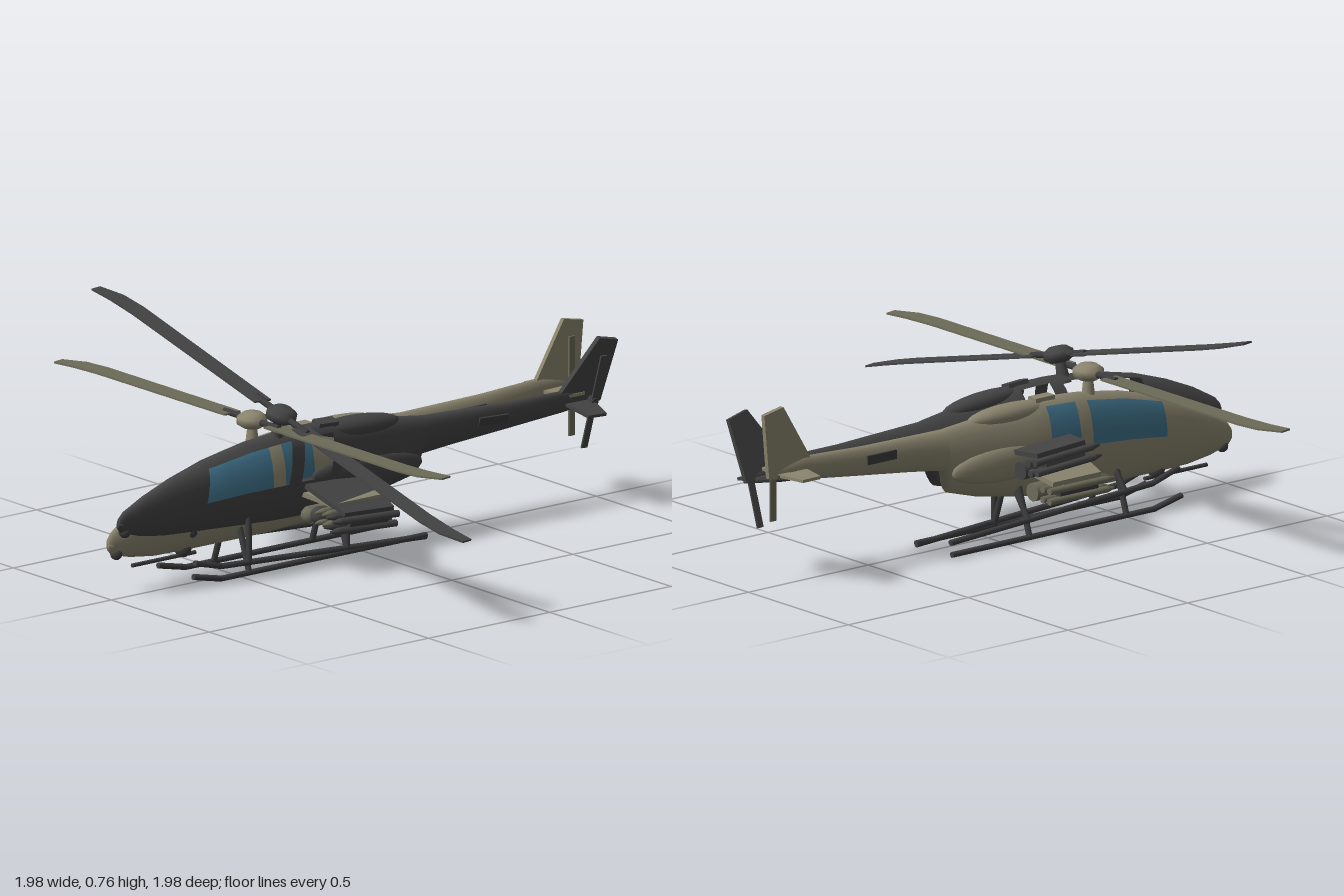
import * as THREE from 'three';

const mat = (name, color, side = THREE.FrontSide) => {
  const m = new THREE.MeshStandardMaterial({ color, side });
  m.name = name;
  return m;
};

// Flat plate from [x, z] points, centred on y = 0
const flatPlate = (pts, t) => new THREE.ExtrudeGeometry(
  new THREE.Shape(pts.map(([x, z]) => new THREE.Vector2(x, z))), { depth: t, bevelEnabled: false })
  .rotateX(Math.PI / 2).translate(0, t / 2, 0);

// Upright plate from [z, y] points, centred on x = 0
const uprightPlate = (pts, t) => new THREE.ExtrudeGeometry(
  new THREE.Shape(pts.map(([z, y]) => new THREE.Vector2(z, y))), { depth: t, bevelEnabled: false })
  .rotateY(-Math.PI / 2).translate(t / 2, 0, 0);

// Straight rod between two points
function rod(a, b, r, sides = 8, r2 = r) {
  const A = new THREE.Vector3(...a), B = new THREE.Vector3(...b), d = B.clone().sub(A);
  const g = new THREE.CylinderGeometry(r2, r, d.length(), sides);
  g.applyQuaternion(new THREE.Quaternion().setFromUnitVectors(new THREE.Vector3(0, 1, 0), d.normalize()));
  return g.translate(...A.add(B).multiplyScalar(0.5).toArray());
}

// Fuselage stations: z, bottom, top, half width
const STATIONS = [
  [0.99, 0.15, 0.19, 0.008], [0.975, 0.135, 0.21, 0.016], [0.9, 0.115, 0.26, 0.028],
  [0.8, 0.102, 0.31, 0.043], [0.68, 0.1, 0.357, 0.056], [0.52, 0.1, 0.4, 0.065],
  [0.36, 0.1, 0.425, 0.07], [0.31, 0.102, 0.43, 0.07], [0.19, 0.11, 0.435, 0.068],
  [0.08, 0.125, 0.418, 0.062], [-0.08, 0.155, 0.415, 0.052], [-0.2, 0.19, 0.405, 0.042],
  [-0.215, 0.265, 0.403, 0.036], [-0.35, 0.285, 0.405, 0.03], [-0.55, 0.31, 0.408, 0.024],
  [-0.8, 0.342, 0.42, 0.016], [-0.92, 0.365, 0.4, 0.007],
];

function fuselage(glazed, bodyMat, glassMat) {
  const n = 24, pos = [], body = [], glass = [];
  for (const [z, lo, hi, w] of STATIONS)
    for (let j = 0; j < n; j++) {
      const a = j / n * Math.PI * 2;
      pos.push(w * Math.cos(a), (lo + hi) / 2 + (hi - lo) / 2 * Math.sin(a), z);
    }
  for (let i = 0; i < STATIONS.length - 1; i++)
    for (let j = 0; j < n; j++) {
      const k = (j + 1) % n, a = i * n + j, b = i * n + k, c = (i + 1) * n + k, d = (i + 1) * n + j;
      const pane = [4, 5, 7].includes(i) && (j < 4 || (j > 7 && j < 12));
      (pane ? glass : body).push(a, d, b, b, d, c);
    }
  // end caps
  const last = (STATIONS.length - 1) * n;
  for (let j = 1; j < n - 1; j++) body.push(0, j, j + 1, last, last + j + 1, last + j);
  const g = new THREE.BufferGeometry();
  g.setAttribute('position', new THREE.Float32BufferAttribute(pos, 3));
  g.setIndex(glazed ? [...body, ...glass] : body);
  g.addGroup(0, body.length, 0);
  if (glazed) g.addGroup(body.length, glass.length, 1);
  g.computeVertexNormals();
  return new THREE.Mesh(g, [bodyMat, glassMat]);
}

function helicopter(glazed, paint, bladeMat, storeMat, gearMat, glassMat) {
  const heli = new THREE.Group();
  const add = (name, geo, m, parent = heli) => {
    const mesh = new THREE.Mesh(geo, m);
    mesh.name = name;
    parent.add(mesh);
    return mesh;
  };

  const hull = fuselage(glazed, paint, glassMat);
  hull.name = 'fuselage';
  heli.add(hull);

  // Engine cowling and intake on the roof
  add('engineCowl', new THREE.SphereGeometry(1, 20, 12).scale(0.04, 0.035, 0.17).translate(0, 0.405, 0.06), paint);
  add('roofIntake', new THREE.BoxGeometry(0.04, 0.03, 0.08).translate(0, 0.425, 0.2), paint);

  // Nose sensor and chin gun
  add('noseSensor', new THREE.SphereGeometry(0.02, 12, 8).translate(0, 0.135, 0.955), gearMat);
  add('gunTurret', new THREE.SphereGeometry(0.028, 12, 8).translate(0, 0.105, 0.68), gearMat);
  add('gunBarrel', rod([0, 0.085, 0.63], [0, 0.085, 0.89], 0.007), gearMat);

  // Main rotor
  const rotor = new THREE.Group();
  rotor.name = 'mainRotor';
  rotor.position.set(0, 0.485, 0.395);
  heli.add(rotor);
  add('rotorMast', new THREE.CylinderGeometry(0.013, 0.024, 0.1, 14).translate(0, -0.045, 0), paint, rotor);
  const hubProfile = [[0, -0.025], [0.03, -0.025], [0.05, -0.012], [0.05, 0.01], [0.03, 0.025], [0, 0.028]];
  add('rotorHub', new THREE.LatheGeometry(hubProfile.map(p => new THREE.Vector2(...p)), 20), paint, rotor);
  const bladeOutline = [[0.1, 0.033], [0.78, 0.033], [0.87, 0.021], [0.945, -0.02], [0.938, -0.06],
    [0.86, -0.045], [0.75, -0.036], [0.1, -0.033]];
  for (const turn of [0, Math.PI]) {
    add('rotorGrip', rod([0.04, 0, 0], [0.14, 0, 0], 0.011), gearMat, rotor).rotation.y = turn;
    add('rotorBlade', flatPlate(bladeOutline, 0.006), bladeMat, rotor).rotation.y = turn;
  }

  // Tail fin and tail rotor
  add('tailFin', uprightPlate([[-0.77, 0.41], [-0.885, 0.6], [-0.965, 0.585], [-0.945, 0.37], [-0.86, 0.355]], 0.016), paint);
  add('tailRotorHub', rod([0, 0.38, -0.9], [0.035, 0.38, -0.9], 0.014, 12), gearMat);
  add('tailRotorBlades', uprightPlate([[-0.888, 0.215], [-0.888, 0.545], [-0.912, 0.545], [-0.912, 0.215]], 0.006)
    .translate(0.028, 0, 0), bladeMat);

  for (const s of [1, -1]) {
    // Side fairing, vent and stabiliser
    add('sideFairing', new THREE.SphereGeometry(1, 20, 12).scale(0.032, 0.06, 0.23).translate(s * 0.042, 0.26, 0.02), paint);
    add('boomVent', new THREE.BoxGeometry(0.012, 0.03, 0.12).translate(s * 0.024, 0.365, -0.49), gearMat);
    add('stabiliser', flatPlate([[0, -0.79], [s * 0.11, -0.815], [s * 0.11, -0.89], [0, -0.91]], 0.01)
      .translate(0, 0.375, 0), paint);

    // Stub wing with its stores
    const wing = flatPlate([[0, 0.3], [s * 0.2, 0.25], [s * 0.2, 0.05], [0, 0.04]], 0.016);
    wing.rotateZ(-s * 0.16).translate(s * 0.04, 0.253, 0);
    add('stubWing', wing, paint);
    add('podPylon', new THREE.BoxGeometry(0.012, 0.05, 0.12).translate(s * 0.145, 0.215, 0.16), paint);
    add('rocketPod', rod([s * 0.145, 0.178, 0.04], [s * 0.145, 0.178, 0.28], 0.03, 14), storeMat);
    add('podNose', new THREE.SphereGeometry(0.029, 14, 8).translate(s * 0.145, 0.178, 0.275), storeMat);
    add('missileRack', new THREE.BoxGeometry(0.05, 0.012, 0.16).translate(s * 0.225, 0.187, 0.15), gearMat);
    add('rackPylon', new THREE.BoxGeometry(0.012, 0.04, 0.1).translate(s * 0.225, 0.205, 0.15), paint);
    for (const dx of [-0.017, 0.017])
      for (const y of [0.168, 0.202]) {
        const x = s * 0.225 + dx;
        add('missile', rod([x, y, 0.03], [x, y, 0.27], 0.012), storeMat);
        add('missileTip', rod([x, y, 0.27], [x, y, 0.3], 0.012, 8, 0.004), storeMat);
      }

    // Landing skid and struts
    const x = s * 0.09;
    add('skid', rod([x, 0.01, -0.25], [x, 0.01, 0.6], 0.01), gearMat);
    add('skidToe', rod([x, 0.01, 0.595], [x, 0.035, 0.71], 0.01), gearMat);
    for (const z of [0.48, 0.075])
      add('skidStrut', rod([s * 0.035, 0.17, z], [x, 0.01, z], 0.01), gearMat);
  }
  return heli;
}

export function createModel() {
  const model = new THREE.Group();
  const tan = mat('tan paint', 0x8a846e, THREE.DoubleSide);
  const charcoal = mat('charcoal paint', 0x444444, THREE.DoubleSide);
  const olive = mat('olive blade', 0x6c6b59);
  const grey = mat('dark grey metal', 0x3c3c3e);
  const glass = mat('blue glass', 0x3f7088, THREE.DoubleSide);

  // Level tan aircraft with glazed cockpit
  const level = helicopter(true, tan, olive, olive, grey, glass);
  level.name = 'tanHelicopter';
  level.position.set(-0.03, 0, 0);

  // Banked charcoal aircraft with open cockpit
  const banked = helicopter(false, charcoal, charcoal, charcoal, grey, glass);
  banked.name = 'charcoalHelicopter';
  banked.position.set(-0.03, 0.031, 0);
  banked.rotation.set(-0.054, 0, -0.245);

  model.add(level, banked);
  return model;
}
